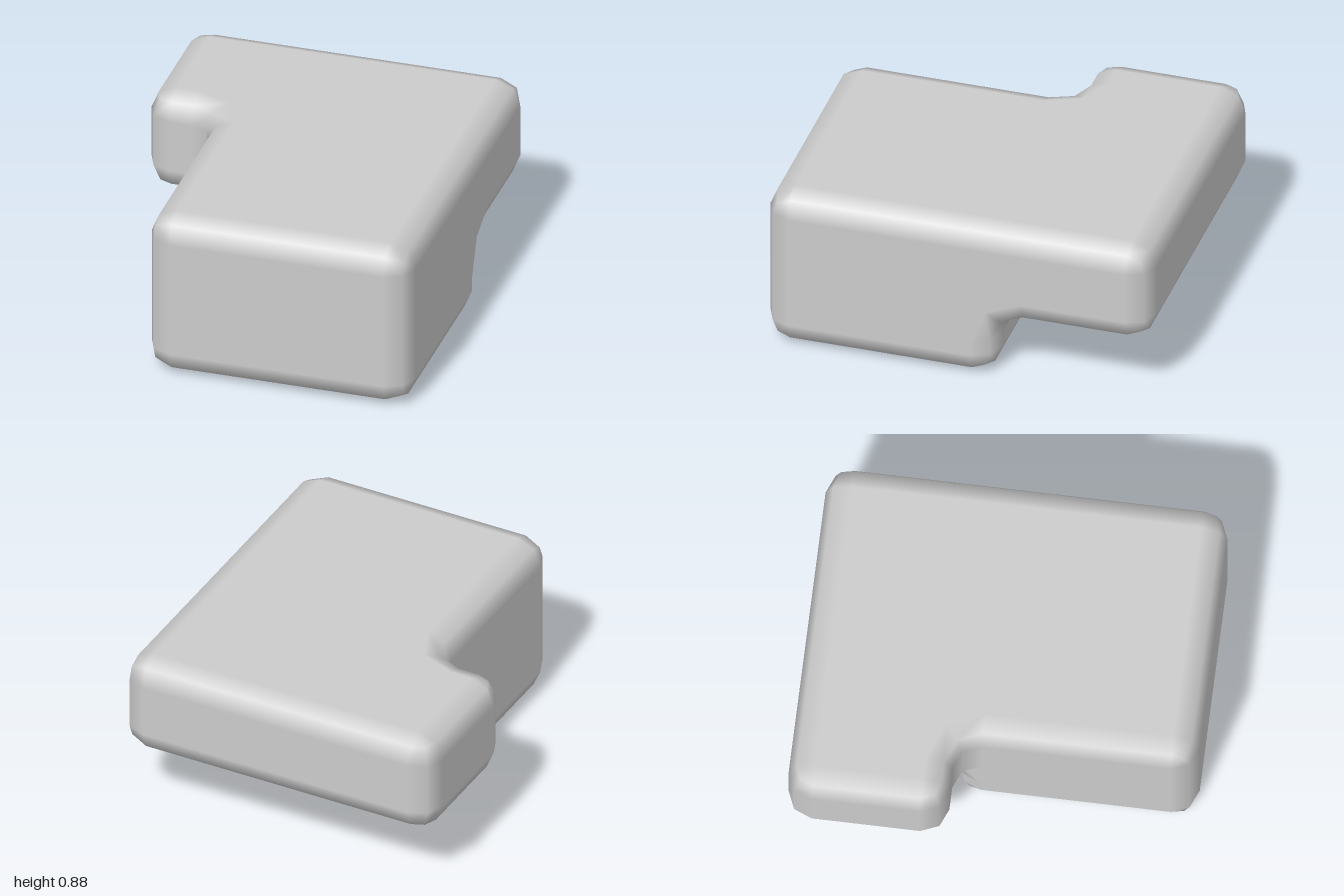
import * as THREE from 'three';

const R = 0.13; // radius of every rounded edge and inner fillet
const STEPS = 2; // facets per quarter round

// Rounded contour of a right-angled, counter-clockwise outline: points with outward normals.
function roundedContour(corners) {
  const pts = corners.map(([u, v]) => new THREE.Vector2(u, v));
  const count = pts.length;
  const edgeNormal = (a, b) => new THREE.Vector2(b.y - a.y, a.x - b.x).normalize();
  const contour = [];
  pts.forEach((p, i) => {
    const n1 = edgeNormal(pts[(i + count - 1) % count], p);
    const n2 = edgeNormal(p, pts[(i + 1) % count]);
    const side = Math.sign(n1.cross(n2)); // +1 outer corner, -1 inner corner
    const centre = p.clone().addScaledVector(n1, -side * R).addScaledVector(n2, -side * R);
    for (let k = 0; k <= STEPS; k++) {
      const a = (k / STEPS) * Math.PI / 2;
      const n = n1.clone().multiplyScalar(Math.cos(a)).addScaledVector(n2, Math.sin(a));
      contour.push({ p: centre.clone().addScaledVector(n, side * R), n });
    }
  });
  return contour;
}

// Prism between lo and hi with all edges rounded; toXYZ turns (u, v, w) into (x, y, z).
function roundedPrism(name, corners, lo, hi, toXYZ, material) {
  const contour = roundedContour(corners);
  const n = contour.length;
  const layers = [];
  for (let k = 0; k <= STEPS; k++) {
    const a = (k / STEPS) * Math.PI / 2;
    layers.push({ inset: R * (1 - Math.sin(a)), w: lo + R * (1 - Math.cos(a)), s: Math.sin(a), c: -Math.cos(a) });
  }
  for (let k = STEPS; k >= 0; k--) {
    const l = layers[k];
    layers.push({ ...l, w: lo + hi - l.w, c: -l.c });
  }

  const positions = [], normals = [], index = [];
  layers.forEach((l, j) => {
    contour.forEach(({ p, n: d }, i) => {
      positions.push(...toXYZ(p.x - d.x * l.inset, p.y - d.y * l.inset, l.w));
      normals.push(...toXYZ(d.x * l.s, d.y * l.s, l.c));
      if (j === layers.length - 1) return;
      const a = j * n + i, b = j * n + (i + 1) % n;
      index.push(a, b, b + n, a, b + n, a + n);
    });
  });

  // Flat caps
  const cap = contour.map(({ p, n: d }) => p.clone().addScaledVector(d, -R));
  const top = (layers.length - 1) * n;
  for (const [a, b, c] of THREE.ShapeUtils.triangulateShape(cap, [])) {
    index.push(a, c, b, top + a, top + b, top + c);
  }

  const geometry = new THREE.BufferGeometry();
  geometry.setAttribute('position', new THREE.Float32BufferAttribute(positions, 3));
  geometry.setAttribute('normal', new THREE.Float32BufferAttribute(normals, 3));
  geometry.setIndex(index);
  const mesh = new THREE.Mesh(geometry, material);
  mesh.name = name;
  return mesh;
}

export function createModel() {
  const group = new THREE.Group();
  group.name = 'steppedBlock';
  const material = new THREE.MeshStandardMaterial({ color: 0xcccccc });

  // Main block, tall at the front and undercut at the back: side outline in (y, z), swept along x
  const body = [[0, -0.2], [0.34, -0.2], [0.34, -1], [0.875, -1], [0.875, 1], [0, 1]];
  group.add(roundedPrism('mainBlock', body, -0.495, 0.87, (u, v, w) => [w, u, v], material));

  // Side wing at the back with its inner fillet: top outline in (z, x), swept along y into the block
  const wing = [[-1, -0.87], [-0.2, -0.87], [-0.2, -0.495], [0.3, -0.495], [0.3, 0.5], [-1, 0.5]];
  group.add(roundedPrism('sideWing', wing, 0.34, 0.875, (u, v, w) => [v, w, u], material));

  return group;
}
